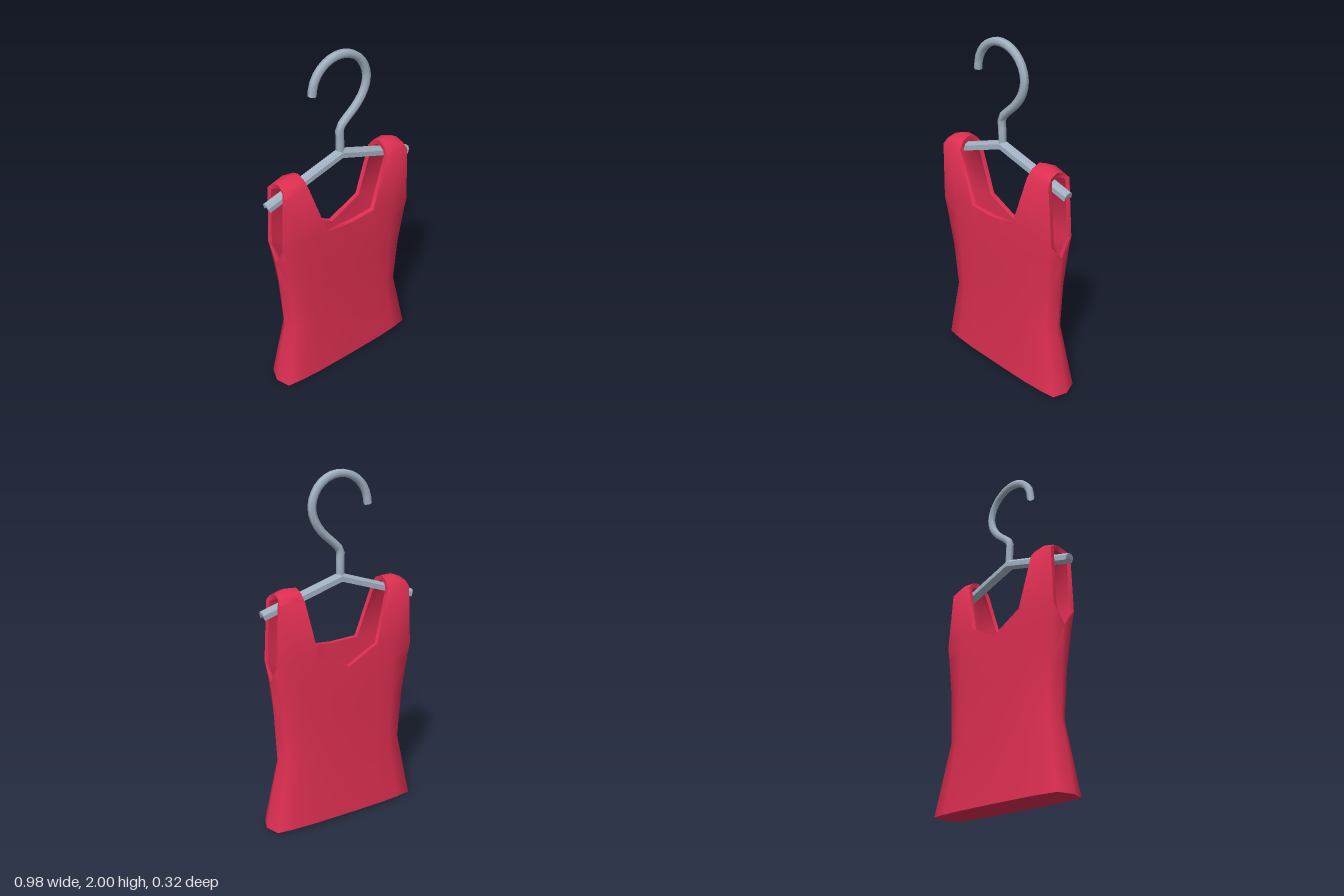
import * as THREE from 'three';
import { mergeVertices, toCreasedNormals } from 'three/addons/utils/BufferGeometryUtils.js';

const THICK = 0.028;

// Quarter of the top: rows from hem to shoulder, columns from centre to side seam, as [x, y, z].
const BODY = [
  [[0, 0, 0.105], [0.24, 0, 0.103], [0.36, 0, 0.096], [0.455, 0, 0.084], [0.485, 0, 0]],
  [[0, 0.4, 0.092], [0.2, 0.4, 0.088], [0.3, 0.4, 0.078], [0.375, 0.4, 0.058], [0.405, 0.4, 0]],
  [[0, 0.68, 0.097], [0.19, 0.68, 0.093], [0.3, 0.68, 0.085], [0.39, 0.68, 0.064], [0.42, 0.68, 0]],
  [[0, 0.86, 0.1], [0.18, 0.88, 0.098], [0.3, 0.9, 0.092], [0.415, 0.9, 0.075], [0.435, 0.89, 0]],
];
const FRONT_NECK = [[0, 1.02, 0.1], [0.16, 1.03, 0.098], [0.3, 1.02, 0.094], [0.43, 0.99, 0.078]];
const BACK_NECK = [[0, 0.93, 0.1], [0.19, 1.03, 0.098], [0.3, 1.02, 0.094], [0.43, 0.99, 0.078]];
const STRAP = [
  [null, [0.262, 1.335, 0.08], [0.335, 1.345, 0.084], [0.41, 1.33, 0.078]],
  [null, [0.268, 1.375, 0.05], [0.335, 1.38, 0.054], [0.402, 1.36, 0.05]],
  [null, [0.272, 1.395, 0], [0.335, 1.398, 0], [0.396, 1.375, 0]],
];

function shirtGeometry() {
  // Outer skin, mirrored left to right and front to back
  const tris = [];
  for (const sx of [1, -1]) for (const sz of [1, -1]) {
    const grid = [...BODY, sz > 0 ? FRONT_NECK : BACK_NECK, ...STRAP];
    const add = (...pts) => {
      if (sx * sz < 0) pts.reverse();
      pts.forEach(([x, y, z]) => tris.push(sx * x + 0, y, sz * z + 0));
    };
    for (let r = 0; r < grid.length - 1; r++) for (let c = 0; c < 4; c++) {
      const [a, b, d, e] = [grid[r][c], grid[r][c + 1], grid[r + 1][c + 1], grid[r + 1][c]];
      if (a && b && d && e) { add(a, b, d); add(a, d, e); }
    }
    // Corner of the armhole down to the side seam
    add(grid[3][3], grid[3][4], grid[4][3]);
  }
  let skin = new THREE.BufferGeometry();
  skin.setAttribute('position', new THREE.Float32BufferAttribute(tris, 3));
  skin = mergeVertices(skin, 1e-4);
  skin.computeVertexNormals();

  // Lining: the same skin moved inward
  const pos = skin.attributes.position, nor = skin.attributes.normal, n = pos.count;
  const verts = Array.from(pos.array), index = Array.from(skin.index.array);
  for (let i = 0; i < n; i++) {
    verts.push(
      pos.getX(i) - THICK * nor.getX(i),
      Math.max(0.002, pos.getY(i) - THICK * nor.getY(i)),
      pos.getZ(i) - THICK * nor.getZ(i));
  }
  verts.push(0, 0, 0);
  const outer = index.slice(), edges = new Set();
  for (let i = 0; i < outer.length; i += 3) {
    const t = outer.slice(i, i + 3);
    index.push(t[2] + n, t[1] + n, t[0] + n);
    for (let k = 0; k < 3; k++) edges.add(t[k] + '_' + t[(k + 1) % 3]);
  }
  // Open edges: close the hem, give the neck and armholes a rim
  for (const key of edges) {
    const [a, b] = key.split('_').map(Number);
    if (edges.has(b + '_' + a)) continue;
    if (pos.getY(a) < 0.01 && pos.getY(b) < 0.01) index.push(b, a, 2 * n);
    else index.push(b, a, a + n, b, a + n, b + n);
  }
  const geo = new THREE.BufferGeometry();
  geo.setAttribute('position', new THREE.Float32BufferAttribute(verts, 3));
  geo.setIndex(index);
  return toCreasedNormals(geo, 1.3);
}

// Hook: straight neck, bend and half circle
function hookGeometry() {
  const pts = [[0, 1.41], [0, 1.5], [0, 1.565], [0.03, 1.6], [0.11, 1.67], [0.155, 1.735]];
  const R = 0.172;
  for (let i = 0; i <= 9; i++) {
    const a = (i / 9) * Math.PI;
    pts.push([R * Math.cos(a), 1.8 + R * Math.sin(a)]);
  }
  const curve = new THREE.CatmullRomCurve3(pts.map(([x, y]) => new THREE.Vector3(x, y, 0)));
  return new THREE.TubeGeometry(curve, 28, 0.023, 6, false);
}

// Hanger arm: channel section, notched underneath
function armGeometry(length) {
  const section = new THREE.Shape([
    [-0.026, -0.022], [0, 0.002], [0.026, -0.022], [0.026, 0.006],
    [0.013, 0.021], [-0.013, 0.021], [-0.026, 0.006],
  ].map(([x, y]) => new THREE.Vector2(x, y)));
  return new THREE.ExtrudeGeometry(section, { depth: length, bevelEnabled: false });
}

export function createModel() {
  const fabric = new THREE.MeshStandardMaterial({ color: 0xdf2f52, side: THREE.DoubleSide });
  fabric.name = 'red fabric';
  const metal = new THREE.MeshStandardMaterial({ color: 0xa3b3c3, side: THREE.DoubleSide });
  metal.name = 'grey metal';

  const hung = new THREE.Group();
  hung.name = 'hungTop';
  const add = (name, geo, mat) => {
    const mesh = new THREE.Mesh(geo, mat);
    mesh.name = name;
    hung.add(mesh);
    return mesh;
  };

  add('tankTop', shirtGeometry(), fabric);
  add('hook', hookGeometry(), metal);

  const drop = 0.15, reach = 0.475;
  for (const s of [1, -1]) {
    const arm = add(s > 0 ? 'leftArm' : 'rightArm', armGeometry(Math.hypot(reach, drop)), metal);
    arm.position.set(0, 1.42, 0);
    arm.rotation.set(Math.atan2(drop, reach), s * Math.PI / 2, 0, 'YXZ');
  }

  // The hanger swings slightly
  hung.rotation.set(0.018, -0.165, 0.016, 'YXZ');
  hung.position.set(0, 0.009, -0.012);

  const model = new THREE.Group();
  model.name = 'topOnHanger';
  model.add(hung);
  return model;
}
